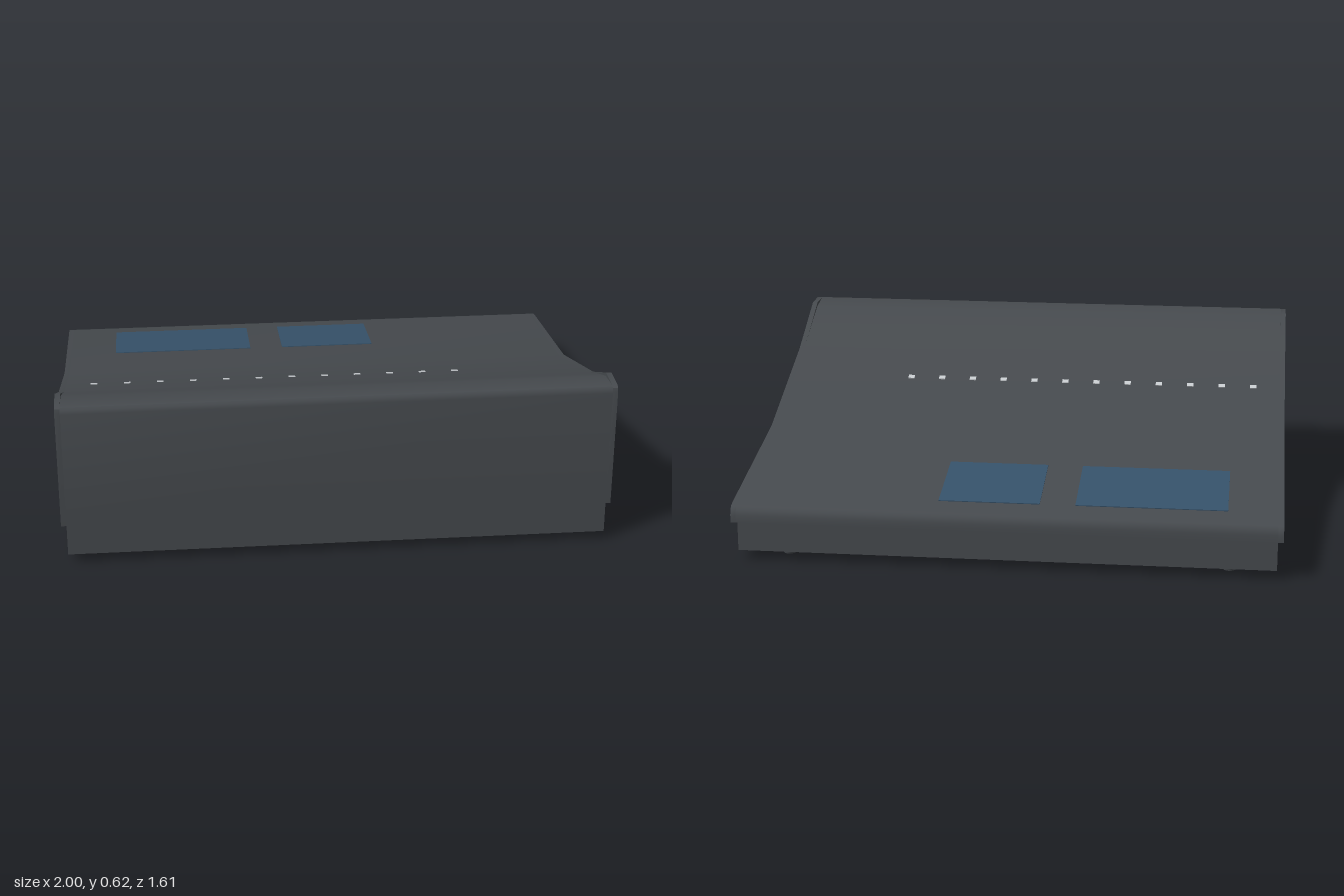
import * as THREE from 'three';
import { toCreasedNormals } from 'three/addons/utils/BufferGeometryUtils.js';

const mat = (name, color) => Object.assign(new THREE.MeshStandardMaterial({ color }), { name });

// Side profile given as [z, y] points, extruded between x0 and x1
function extrudeProfile(points, x0, x1) {
  const shape = new THREE.Shape(points.map(([z, y]) => new THREE.Vector2(z, y)));
  const geo = new THREE.ExtrudeGeometry(shape, { depth: x1 - x0, bevelEnabled: false });
  geo.rotateY(-Math.PI / 2).translate(x1, 0, 0);
  return toCreasedNormals(geo, 0.6);
}

export function createModel() {
  const model = new THREE.Group();
  model.name = 'slopedConsole';
  const body = mat('charcoal', 0x464a4e);
  const blue = mat('dark blue', 0x36526a);
  const light = mat('pale grey', 0xc8ccd0);

  const add = (name, geo, material, x = 0, y = 0, z = 0) => {
    const mesh = new THREE.Mesh(geo, material);
    mesh.name = name;
    mesh.position.set(x, y, z);
    model.add(mesh);
    return mesh;
  };

  // Lower slope and rounded rear lip, shared by roof and cheeks
  const rear = [[0.4, 0.49], [-0.13, 0.315], [-0.77, 0.212], [-0.788, 0.206],
    [-0.8, 0.193], [-0.805, 0.175], [-0.805, 0.148]];

  // Main cover, with a rounded front ridge
  const roof = [[0.808, 0.148], [0.808, 0.598], [0.804, 0.612], [0.796, 0.62], [0.785, 0.622],
    [0.68, 0.607], [0.6, 0.576], [0.5, 0.534], ...rear];
  add('cover', extrudeProfile(roof, -0.98, 0.98), body);

  // Side cheeks, standing slightly above the cover near the ridge
  const cheek = [[0.8, 0.148], [0.802, 0.6], [0.798, 0.615], [0.785, 0.622], [0.685, 0.622],
    [0.54, 0.554], ...rear];
  add('rightCheek', extrudeProfile(cheek, -1, -0.98), body);
  add('leftCheek', extrudeProfile(cheek, 0.98, 1), body);

  // Base tray
  add('base', new THREE.BoxGeometry(1.96, 0.115, 1.593), body, 0, 0.0925, 0.0115);

  // Four tapered feet
  for (const x of [-0.81, 0.81]) for (const z of [-0.685, 0.685]) {
    add('foot', new THREE.CylinderGeometry(0.034, 0.024, 0.036, 20), body, x, 0.018, z);
  }

  // Thin plate lying on the slope between two profile points
  const plate = (name, material, x0, x1, z0, z1, [za, ya], [zb, yb]) => {
    const slope = (ya - yb) / (za - zb);
    const z = (z0 + z1) / 2;
    const geo = new THREE.BoxGeometry(x1 - x0, 0.004, (z1 - z0) * Math.hypot(1, slope));
    add(name, geo, material, (x0 + x1) / 2, yb + slope * (z - zb) + 0.001, z)
      .rotation.x = -Math.atan(slope);
  };

  // Display windows on the rear slope
  plate('wideWindow', blue, -0.8, -0.25, -0.7, -0.39, rear[1], rear[2]);
  plate('smallWindow', blue, -0.12, 0.25, -0.7, -0.39, rear[1], rear[2]);

  // Row of twelve indicators
  for (let i = 0; i < 12; i++) {
    const x = -0.875 + i * 0.125;
    plate('indicator', light, x - 0.0125, x + 0.0125, 0.215, 0.236, rear[0], rear[1]);
  }
  return model;
}
